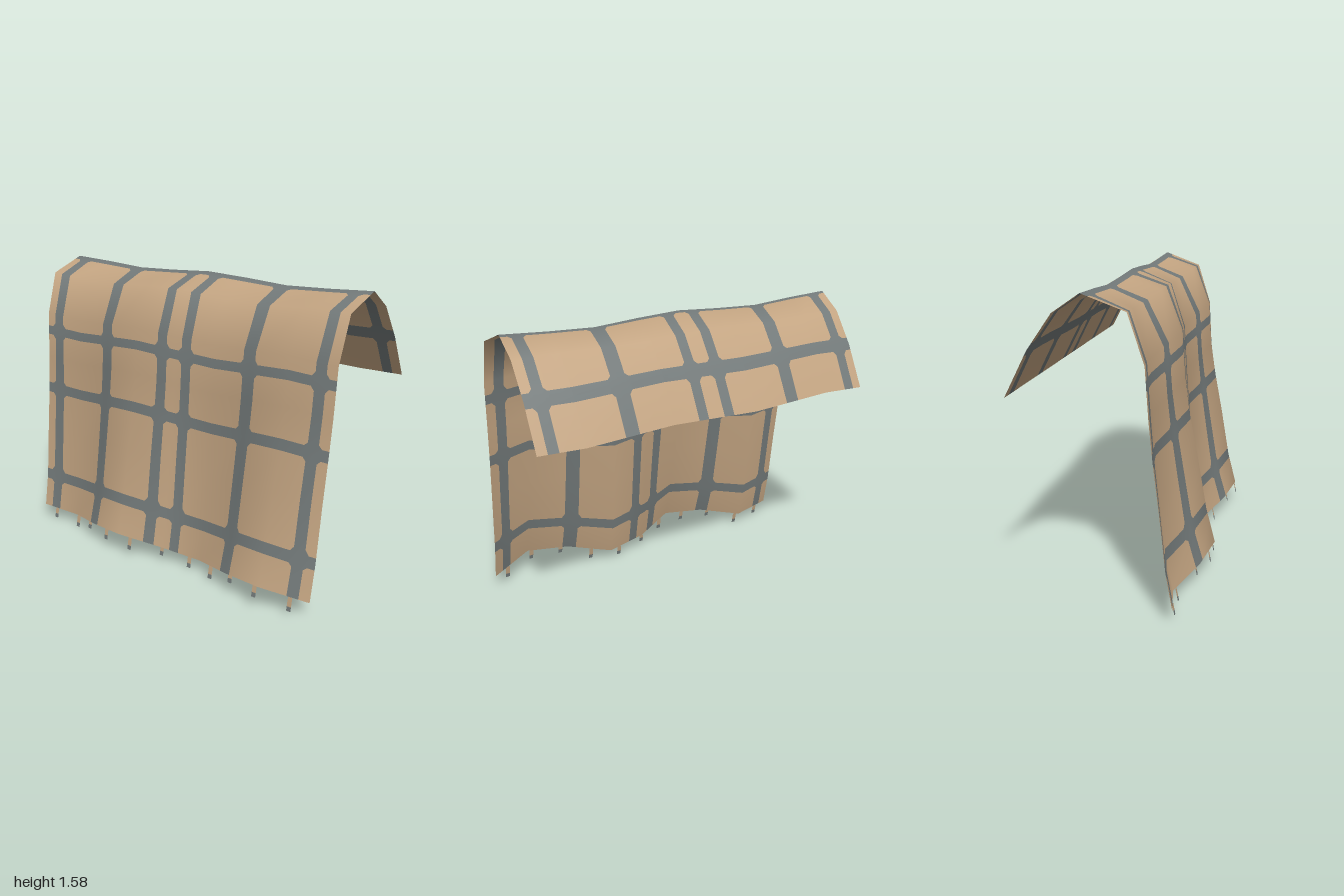
import * as THREE from 'three';

const tan = new THREE.MeshStandardMaterial({ color: 0xc4a582, side: THREE.DoubleSide });
tan.name = 'tan wool';
const grey = new THREE.MeshStandardMaterial({ color: 0x737a7a, side: THREE.DoubleSide });
grey.name = 'grey wool';

// Drape rows from front hem over the ridge to the back edge:
// z, y, fold size in z, fold size in y, fold phase, half width
const rows = [
  [0.370, 0.110, 0.077, 0.038, 1.97, 0.965],
  [0.325, 0.300, 0.068, 0.038, 1.85, 0.968],
  [0.284, 0.600, 0.056, 0.028, 1.75, 0.973],
  [0.252, 0.830, 0.043, 0.024, 1.70, 0.978],
  [0.230, 1.030, 0.031, 0.021, 1.65, 0.983],
  [0.212, 1.283, 0.029, 0.018, 1.60, 0.988],
  [0.120, 1.507, 0.020, 0.018, 0.80, 0.996],
  [-0.080, 1.583, 0.004, 0.013, -0.20, 1],
  [-0.210, 1.500, 0.002, 0.006, 0.80, 1],
  [-0.330, 1.330, -0.004, -0.007, 1.57, 1],
  [-0.445, 1.105, -0.010, -0.007, 1.57, 1],
];
const COLS = 8, LAST = rows.length - 1;

// Plaid stripes: across the width (-1..1) and along the row index
const bandsU = [[-0.948, -0.888], [-0.543, -0.463], [-0.11, -0.05], [0.045, 0.103], [0.453, 0.533], [0.888, 0.945]];
const bandsV = [[0.87, 1.12], [2.93, 3.21], [4.53, 4.73], [6.83, 7.1], [8.8, 9.12]];

// Coarse folded cloth; its points and smooth normals are sampled below
function clothSampler() {
  const pos = [], index = [];
  rows.forEach(([z, y, az, ay, phase, half], j) => {
    for (let i = 0; i <= COLS; i++) {
      const u = (2 * i) / COLS - 1;
      const w = Math.cos(2 * Math.PI * u + phase);
      pos.push(u * half, y + ay * w, z + az * w);
      if (i < COLS && j < LAST) {
        const a = j * (COLS + 1) + i, b = a + COLS + 1;
        index.push(a, a + 1, b + 1, a, b + 1, b);
      }
    }
  });
  const geo = new THREE.BufferGeometry();
  geo.setAttribute('position', new THREE.Float32BufferAttribute(pos, 3));
  geo.setIndex(index);
  geo.computeVertexNormals();
  const at = (name, u, v) => {
    const s = ((u + 1) / 2) * COLS;
    const i = Math.min(COLS - 1, Math.floor(s)), j = Math.min(LAST - 1, Math.floor(v));
    const get = (di, dj) =>
      new THREE.Vector3().fromBufferAttribute(geo.attributes[name], (j + dj) * (COLS + 1) + i + di);
    const low = get(0, 0).lerp(get(1, 0), s - i);
    return low.lerp(get(0, 1).lerp(get(1, 1), s - i), v - j);
  };
  return (u, v) => ({ p: at('position', u, v), n: at('normal', u, v).normalize() });
}

// Grid lines: coarse lines, stripe edges and a small inset beside each stripe
function gridLines(coarse, bands, inset) {
  const lines = [...coarse];
  for (const [a, b] of bands) lines.push(a - inset, a, b, b + inset);
  return lines.sort((a, b) => a - b).filter((x, i, all) => i === 0 || x - all[i - 1] > 1e-6);
}

function stripeCells(lines, bands) {
  return lines.slice(0, -1).map((a, i) => {
    const mid = (a + lines[i + 1]) / 2;
    return bands.some(([lo, hi]) => mid > lo && mid < hi);
  });
}

function clothMesh(name, verts, material) {
  const geo = new THREE.BufferGeometry();
  geo.setAttribute('position', new THREE.Float32BufferAttribute(verts.flatMap(q => q.p.toArray()), 3));
  geo.setAttribute('normal', new THREE.Float32BufferAttribute(verts.flatMap(q => q.n.toArray()), 3));
  const mesh = new THREE.Mesh(geo, material);
  mesh.name = name;
  return mesh;
}

export function createModel() {
  const model = new THREE.Group();
  model.name = 'drapedBlanket';
  const sample = clothSampler();

  const us = gridLines(Array.from({ length: COLS + 1 }, (_, i) => (2 * i) / COLS - 1), bandsU, 0.018);
  const vs = gridLines(rows.map((_, j) => j), bandsV, 0.085);
  const inU = stripeCells(us, bandsU), inV = stripeCells(vs, bandsV);
  const ground = [], plaid = [];

  for (let j = 0; j < inV.length; j++) {
    for (let i = 0; i < inU.length; i++) {
      const q = [
        sample(us[i], vs[j]), sample(us[i + 1], vs[j]),
        sample(us[i + 1], vs[j + 1]), sample(us[i], vs[j + 1]),
      ];
      const tri = (list, k) => list.push(q[k % 4], q[(k + 1) % 4], q[(k + 2) % 4]);
      const stripe = inU[i] || inV[j];
      const besideU = inU[i - 1] || inU[i + 1], besideV = inV[j - 1] || inV[j + 1];
      if (!stripe && besideU && besideV) {
        // Softened corner where two stripes cross
        const k = inV[j - 1] ? (inU[i - 1] ? 0 : 1) : (inU[i + 1] ? 2 : 3);
        tri(plaid, k + 3);
        tri(ground, k + 1);
      } else {
        const list = stripe ? plaid : ground;
        tri(list, 0);
        tri(list, 2);
      }
    }
  }
  model.add(clothMesh('blanketCloth', ground, tan), clothMesh('plaidStripes', plaid, grey));

  // Flat fringe strands with grey tips along the front hem
  const lengths = [0.06, 0.07, 0.04, 0.06, 0.07, 0.045, 0.06, 0.07, 0.04, 0.06, 0.075];
  const fringe = new THREE.Group();
  fringe.name = 'fringe';
  lengths.forEach((length, i) => {
    const strand = new THREE.Group();
    strand.name = 'fringeStrand';
    strand.position.copy(sample((i - 5) * 0.175 / 0.965, 0).p);
    strand.rotation.x = -0.2;
    const tip = 0.024;
    [['strandBody', 0, length - tip, tan], ['strandTip', length - tip, tip, grey]].forEach(([name, top, h, mat]) => {
      const mesh = new THREE.Mesh(new THREE.PlaneGeometry(0.025, h), mat);
      mesh.name = name;
      mesh.position.y = -top - h / 2;
      strand.add(mesh);
    });
    fringe.add(strand);
  });
  model.add(fringe);
  return model;
}
